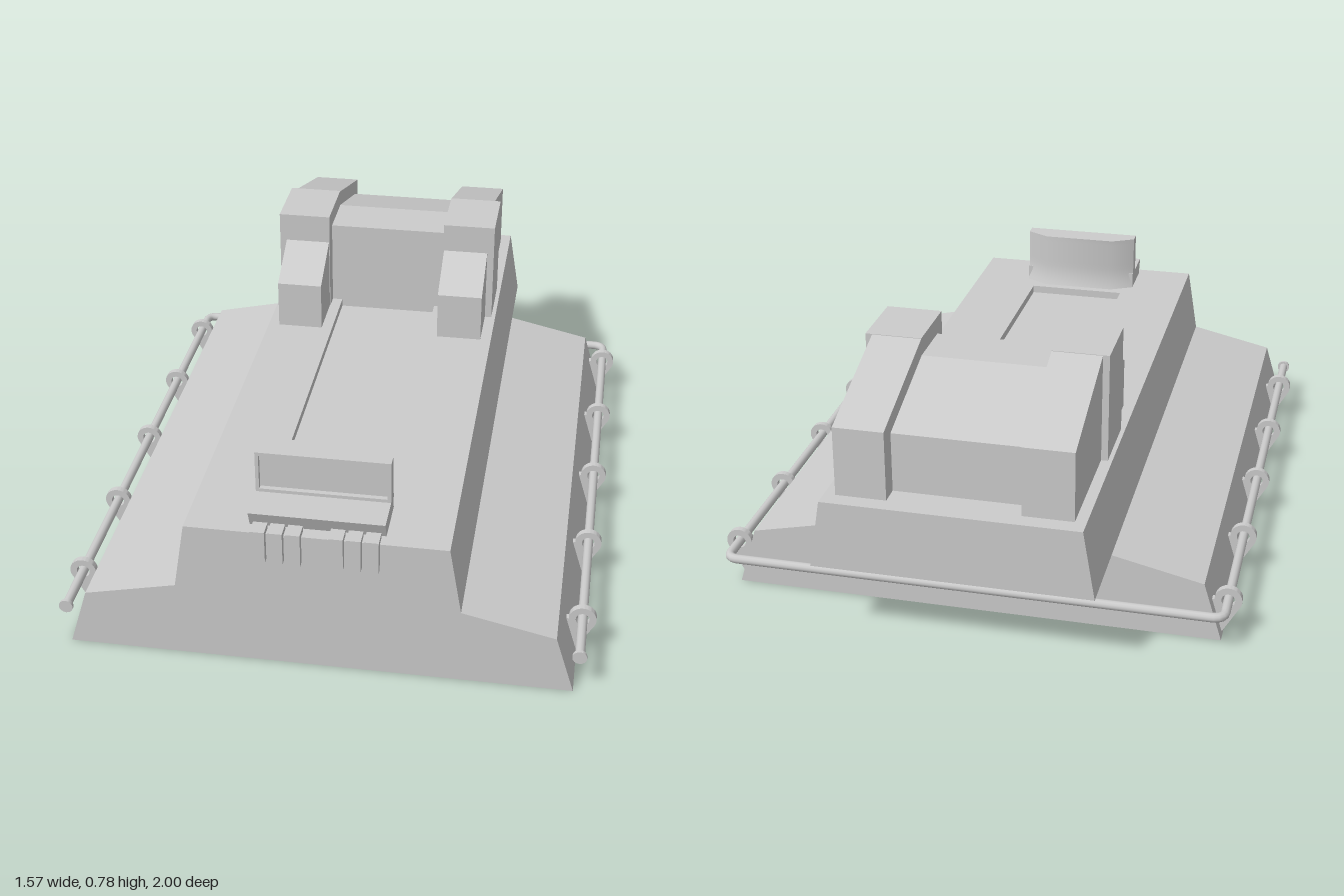
import * as THREE from 'three';
import { toCreasedNormals } from 'three/addons/utils/BufferGeometryUtils.js';

const material = new THREE.MeshStandardMaterial({ color: 0xcccccc, flatShading: true });
const smooth = new THREE.MeshStandardMaterial({ color: 0xcccccc });

const outline = (points) => new THREE.Shape(points.map(([a, b]) => new THREE.Vector2(a, b)));
const extrude = (shape, depth, extra = {}) =>
  new THREE.ExtrudeGeometry(shape, { depth, bevelEnabled: false, ...extra });

// Front (x, y) section carried from z0 to z1
const alongZ = (points, z0, z1) => extrude(outline(points), z1 - z0).translate(0, 0, z0);

// Side (z, y) profile carried from x0 to x1
const alongX = (points, x0, x1) =>
  extrude(outline(points), x1 - x0).rotateY(-Math.PI / 2).translate(x1, 0, 0);

export function createModel() {
  const model = new THREE.Group();
  const add = (name, geometry, mat = material) => {
    const mesh = new THREE.Mesh(geometry, mat);
    mesh.name = name;
    model.add(mesh);
    return mesh;
  };

  // Wide sloped skirt
  add('skirt', alongZ([[-0.735, 0], [0.735, 0], [0.68, 0.18], [0.41, 0.24],
    [-0.41, 0.24], [-0.68, 0.18]], -0.75, 0.98));

  // Raised deck, with a shallow channel in the middle length
  const deck = [[-0.41, 0.24], [0.41, 0.24], [0.375, 0.45]];
  const channel = [[0.16, 0.45], [0.16, 0.425], [-0.16, 0.425], [-0.16, 0.45]];
  const deckEnd = [[-0.375, 0.45]];
  add('rearDeck', alongZ([...deck, ...deckEnd], -1, -0.41));
  add('channelDeck', alongZ([...deck, ...channel, ...deckEnd], -0.41, 0.73));
  add('frontDeck', alongZ([...deck, ...deckEnd], 0.73, 0.98));

  // Engine housing at the rear
  add('engineHousing', alongX([[-0.89, 0.44], [-0.41, 0.44], [-0.41, 0.73],
    [-0.575, 0.73], [-0.89, 0.63]], -0.2, 0.2));

  // Paired pods beside the engine, each in three stepped lengths
  const pods = [
    ['podNose', 0.195, 0.34, [[-0.37, 0.44], [-0.2, 0.44], [-0.2, 0.605], [-0.36, 0.69], [-0.37, 0.69]]],
    ['podBody', 0.193, 0.362, [[-0.575, 0.44], [-0.36, 0.44], [-0.36, 0.783], [-0.575, 0.783]]],
    ['podTail', 0.193, 0.342, [[-0.95, 0.44], [-0.57, 0.44], [-0.57, 0.783], [-0.95, 0.66]]],
  ];
  for (const [name, x0, x1, profile] of pods) {
    add(name + 'Left', alongX(profile, x0, x1));
    add(name + 'Right', alongX(profile, -x1, -x0));
  }

  // Console at the front with an undercut edge
  add('consoleBase', alongX([[0.8, 0.44], [0.935, 0.44], [0.96, 0.5], [0.8, 0.5]], -0.193, 0.193));

  // Screen housing: chamfered back that flares out at the foot
  const screen = extrude(outline([[-0.193, -0.835], [0.193, -0.835], [0.193, -0.81],
    [0.12, -0.77], [-0.12, -0.77], [-0.193, -0.81]]), 0.185, { steps: 10 })
    .rotateX(-Math.PI / 2);
  const p = screen.attributes.position;
  screen.translate(0, 0.445, 0);
  for (let i = 0; i < p.count; i++) {
    const t = Math.max(0, (0.52 - p.getY(i)) / 0.075);
    if (p.getZ(i) < 0.82) p.setZ(i, p.getZ(i) - 0.015 * t * t);
  }
  add('screenHousing', toCreasedNormals(screen, 0.6), smooth);

  // Raised frame around the screen
  const frame = outline([[-0.193, 0.495], [0.193, 0.495], [0.193, 0.63], [-0.193, 0.63]]);
  frame.holes.push(outline([[-0.183, 0.51], [-0.183, 0.62], [0.183, 0.62], [0.183, 0.51]]));
  add('screenFrame', extrude(frame, 0.015).translate(0, 0, 0.835));

  // Two sets of three tabs hanging over the front edge
  for (const side of [-1, 1]) {
    for (let i = 0; i < 3; i++) {
      add('frontTab', new THREE.BoxGeometry(0.041, 0.102, 0.05)
        .translate(side * (0.06 + i * 0.05), 0.416, 0.975));
    }
  }

  // Rail along both sides and round the back
  const railX = 0.747, railY = 0.115, backZ = -0.815, bend = 0.035;
  const v = (x, z) => new THREE.Vector3(x, railY, z);
  const rail = new THREE.CurvePath();
  rail.add(new THREE.LineCurve3(v(-railX, 0.97), v(-railX, backZ + bend)));
  rail.add(new THREE.QuadraticBezierCurve3(v(-railX, backZ + bend), v(-railX, backZ), v(-railX + bend, backZ)));
  rail.add(new THREE.LineCurve3(v(-railX + bend, backZ), v(railX - bend, backZ)));
  rail.add(new THREE.QuadraticBezierCurve3(v(railX - bend, backZ), v(railX, backZ), v(railX, backZ + bend)));
  rail.add(new THREE.LineCurve3(v(railX, backZ + bend), v(railX, 0.97)));
  add('rail', new THREE.TubeGeometry(rail, 400, 0.014, 12), smooth);

  // Teardrop bracket holding the rail
  const bracket = new THREE.Shape();
  bracket.moveTo(0.733, 0.01);
  bracket.lineTo(railX + 0.04 * Math.cos(-0.6), railY + 0.04 * Math.sin(-0.6));
  bracket.absarc(railX, railY, 0.04, -0.6, Math.PI, false);
  bracket.lineTo(0.69, railY);
  bracket.lineTo(0.715, 0.01);
  bracket.closePath();
  const eye = new THREE.Path();
  eye.absarc(railX, railY, 0.02, 0, Math.PI * 2, true);
  bracket.holes.push(eye);
  const bracketGeometry = toCreasedNormals(
    extrude(bracket, 0.02, { curveSegments: 20 }).translate(0, 0, -0.01), 0.5);

  for (const side of [-1, 1]) {
    for (let i = 0; i < 5; i++) {
      const mesh = add('railBracket', bracketGeometry, smooth);
      mesh.position.z = 0.79 - i * 0.374;
      mesh.rotation.y = side < 0 ? Math.PI : 0;
    }
    // Stop at the open end of the rail
    add('railStop', toCreasedNormals(new THREE.CylinderGeometry(0.021, 0.021, 0.01, 16), 0.6)
      .rotateX(Math.PI / 2).translate(side * railX, railY, 0.967), smooth);
  }

  return model;
}
